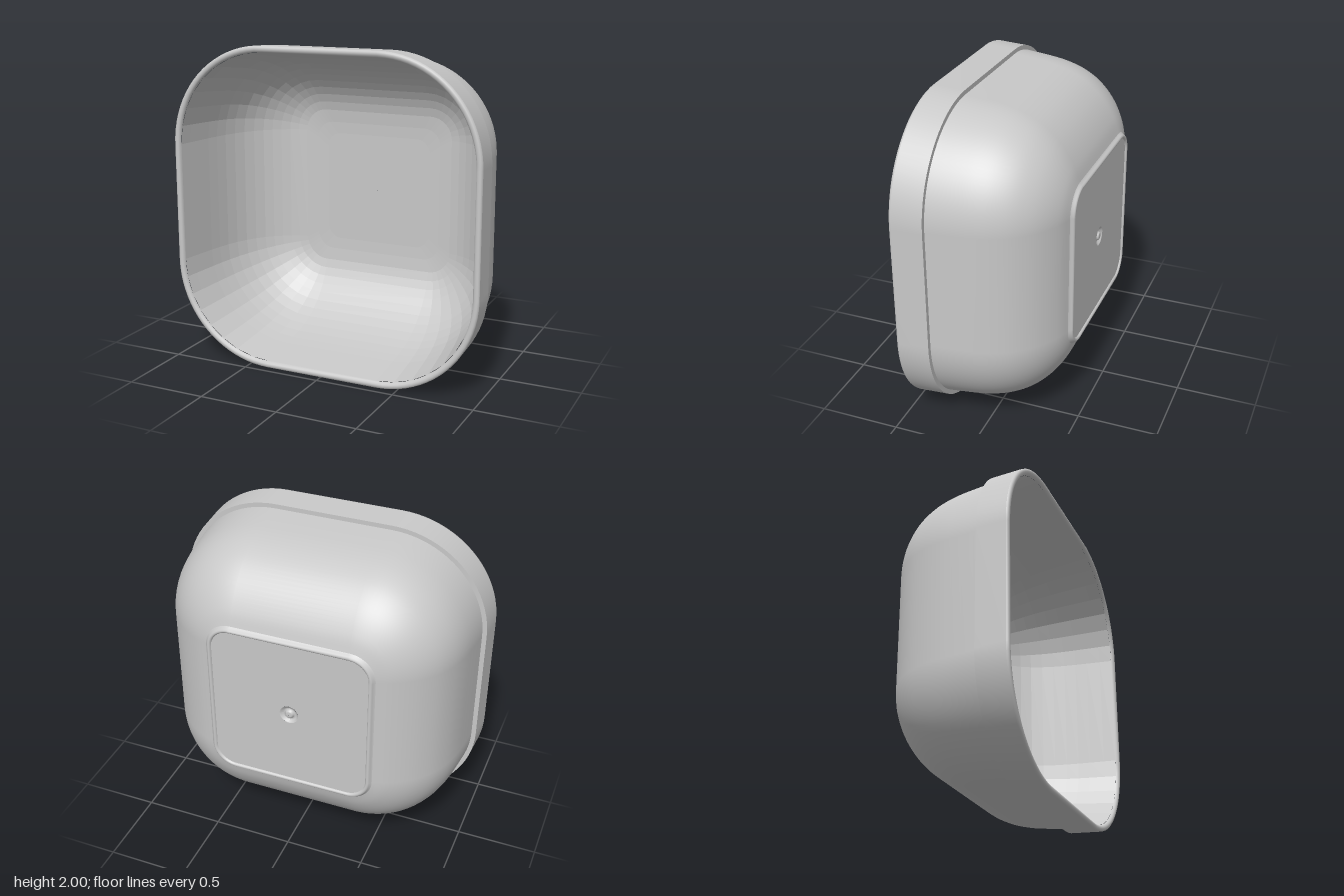
import * as THREE from 'three';

const grey = new THREE.MeshStandardMaterial({ color: 0xc8c8c8 });
grey.name = 'light grey plastic';

// Rounded square of half width h; the corners tighten as it shrinks
function ring([h, z, r = Math.max(0.25 * h, h - 0.37)], steps) {
  const pts = [];
  for (let q = 0; q < 4; q++) {
    const sx = q === 0 || q === 3 ? 1 : -1, sy = q < 2 ? 1 : -1;
    for (let k = 0; k <= steps; k++) {
      const a = (q + k / steps) * Math.PI / 2;
      pts.push(sx * (h - r) + r * Math.cos(a), sy * (h - r) + r * Math.sin(a), z);
    }
  }
  return pts;
}

// Skin through rings given as [half width, z, corner radius]
function loft(name, profile, steps = 20, flat = false) {
  const n = 4 * (steps + 1), pos = [], idx = [];
  profile.forEach(p => pos.push(...ring(p, steps)));
  for (let i = 0; i < profile.length - 1; i++) {
    for (let j = 0; j < n; j++) {
      const a = i * n + j, b = i * n + (j + 1) % n;
      idx.push(a, a + n, b, b, a + n, b + n);
    }
  }
  let geo = new THREE.BufferGeometry();
  geo.setAttribute('position', new THREE.Float32BufferAttribute(pos, 3));
  geo.setIndex(idx);
  if (flat) geo = geo.toNonIndexed();
  geo.computeVertexNormals();
  const mesh = new THREE.Mesh(geo, grey);
  mesh.name = name;
  return mesh;
}

// Smooth curve through profile points
const smooth = (pts, n) =>
  new THREE.SplineCurve(pts.map(p => new THREE.Vector2(...p))).getPoints(n).map(v => [v.x, v.y]);

export function createModel() {
  const bowl = new THREE.Group();
  bowl.name = 'bowl';

  // Inside: flat floor and faceted curved wall up to the rim
  bowl.add(loft('innerFloor', [[0.002, -0.405], [0.36, -0.405]], 8, true));
  bowl.add(loft('innerWall', smooth([
    [0.36, -0.405], [0.5, -0.395], [0.6, -0.365], [0.69, -0.31], [0.77, -0.235],
    [0.84, -0.13], [0.89, 0], [0.92, 0.14], [0.94, 0.28], [0.96, 0.435],
  ], 16), 8, true));

  // Rounded rim and the collar below it
  bowl.add(loft('rim', [
    [0.96, 0.435], [0.963, 0.447], [0.972, 0.454], [0.982, 0.456],
    [0.991, 0.454], [0.998, 0.449], [1, 0.44],
  ]));
  bowl.add(loft('collar', [[1, 0.44], [0.99, 0.255]]));
  bowl.add(loft('collarStep', [[0.99, 0.255], [0.962, 0.255]]));

  // Outer body
  bowl.add(loft('body', smooth([
    [0.962, 0.255], [0.948, 0.12], [0.93, 0], [0.9, -0.105], [0.85, -0.205],
    [0.78, -0.29], [0.7, -0.355], [0.61, -0.405], [0.53, -0.432],
  ], 32)));

  // Foot ring around a recessed base panel
  bowl.add(loft('footRing', [
    [0.53, -0.432], [0.523, -0.438], [0.517, -0.449], [0.511, -0.455],
    [0.503, -0.456], [0.496, -0.453], [0.492, -0.444],
  ]));
  bowl.add(loft('basePanel', [[0.492, -0.444], [0.06, -0.444, 0.06]]));

  // Round dimple with a small nub in the middle
  bowl.add(loft('baseDimple', [
    [0.06, -0.444], [0.054, -0.441], [0.044, -0.43], [0.034, -0.428],
    [0.027, -0.434], [0.023, -0.444], [0.017, -0.446], [0.002, -0.446],
  ].map(([h, z]) => [h, z, h]), 8));

  bowl.position.y = 1;
  const model = new THREE.Group();
  model.name = 'squareBowl';
  model.add(bowl);
  return model;
}
